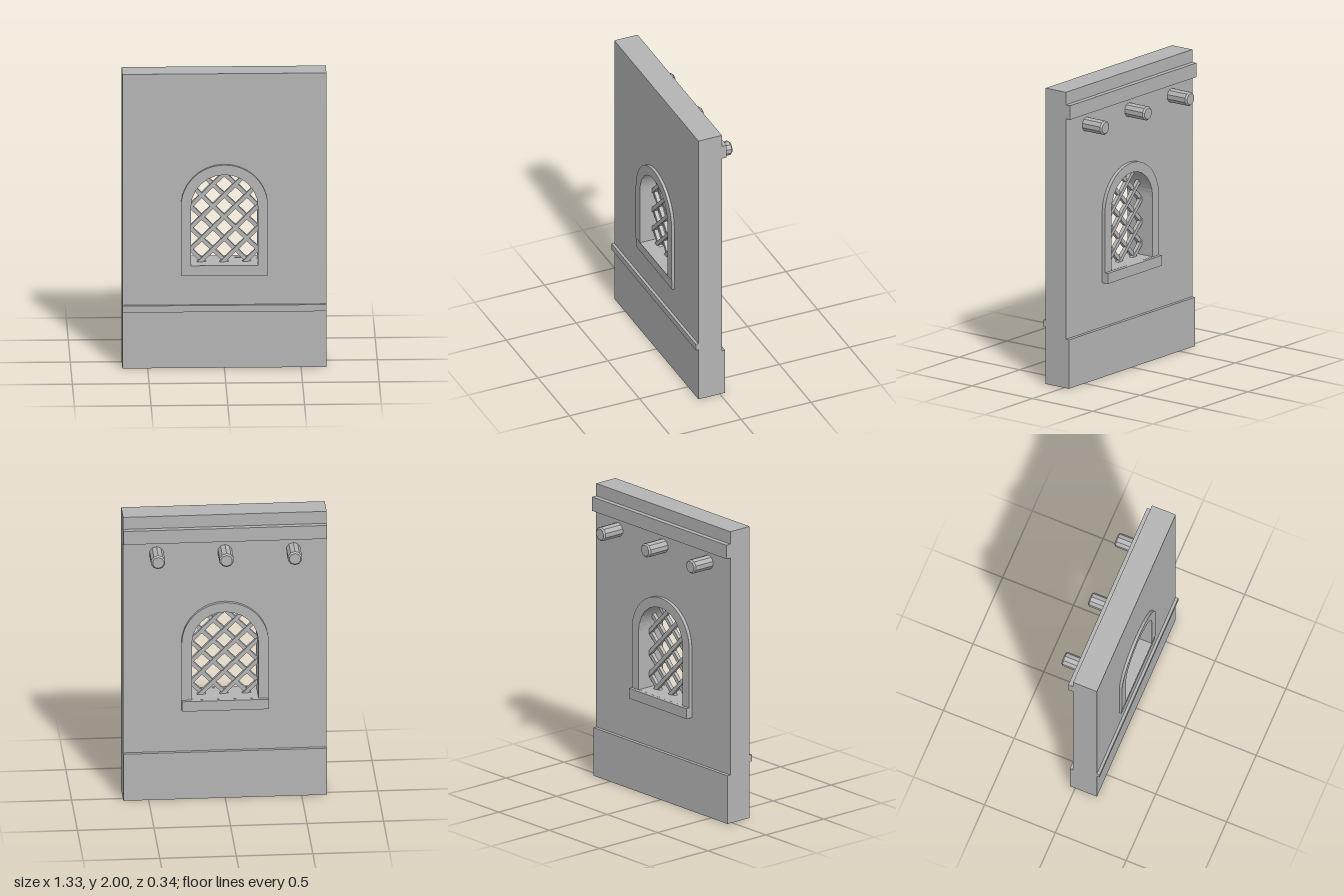
import * as THREE from 'three';

const FRONT = 0.153, BACK = -0.014, HALF_W = 0.665;
const SILL_TOP = 0.70, SPRING = 1.10, HOLE_R = 0.218, FRAME_R = 0.284;

// Round-headed outline standing on the sill
function arch(Kind, r) {
  const p = new Kind();
  p.moveTo(-r, SILL_TOP);
  p.lineTo(r, SILL_TOP);
  p.lineTo(r, SPRING);
  p.absarc(0, SPRING, r, 0, Math.PI, false);
  p.lineTo(-r, SILL_TOP);
  return p;
}

export function createModel() {
  const group = new THREE.Group();
  const stone = new THREE.MeshStandardMaterial({ color: 0xb4b4b4 });
  stone.name = 'grey stone';

  const add = (name, geometry, parent = group) => {
    const mesh = new THREE.Mesh(geometry, stone);
    mesh.name = name;
    parent.add(mesh);
    return mesh;
  };
  const box = (name, halfW, y0, y1, z0, z1) =>
    add(name, new THREE.BoxGeometry(halfW * 2, y1 - y0, z1 - z0))
      .position.set(0, (y0 + y1) / 2, (z0 + z1) / 2);
  const slab = (name, shape, z0, z1) =>
    add(name, new THREE.ExtrudeGeometry(shape, { depth: z1 - z0, bevelEnabled: false, curveSegments: 12 }))
      .position.z = z0;

  // Wall with arched opening
  const wallShape = new THREE.Shape([
    new THREE.Vector2(-HALF_W, 0), new THREE.Vector2(HALF_W, 0),
    new THREE.Vector2(HALF_W, 2), new THREE.Vector2(-HALF_W, 2),
  ]);
  wallShape.holes.push(arch(THREE.Path, HOLE_R));
  slab('wall', wallShape, BACK, FRONT);

  // Horizontal mouldings
  box('plinth', HALF_W, 0, 0.33, -0.038, BACK);
  box('cornice', HALF_W, 1.82, 1.915, -0.049, BACK);
  box('frontStringCourse', HALF_W, 0.385, 0.43, FRONT, 0.172);

  // Window surrounds on both faces, with sills
  for (const [side, z0, z1] of [['front', FRONT, 0.172], ['back', -0.038, BACK]]) {
    const ring = arch(THREE.Shape, FRAME_R);
    ring.holes.push(new THREE.Path([
      new THREE.Vector2(-HOLE_R, SILL_TOP + 0.0005), new THREE.Vector2(HOLE_R, SILL_TOP + 0.0005),
      ...Array.from({ length: 13 }, (_, i) => {
        const a = i * Math.PI / 12;
        return new THREE.Vector2(HOLE_R * Math.cos(a), SPRING + HOLE_R * Math.sin(a));
      }),
    ]));
    slab(side + 'WindowSurround', ring, z0, z1);
  }
  box('frontSill', FRAME_R, 0.63, SILL_TOP, FRONT, 0.168);
  box('backSill', FRAME_R, 0.63, SILL_TOP, -0.062, BACK);

  // Diagonal lattice, each bar trimmed to the opening
  const lattice = new THREE.Group();
  lattice.name = 'windowLattice';
  group.add(lattice);
  const inside = (x, y) => Math.abs(x) < HOLE_R && y > SILL_TOP &&
    (y < SPRING || Math.hypot(x, y - SPRING) < HOLE_R);
  const pitch = 0.147, k = Math.SQRT1_2;
  for (const dir of [1, -1]) {
    for (let i = -5; i <= 5; i++) {
      const x0 = i * pitch;
      let start = null, end = 0;
      for (let t = -0.5; t < 1.4; t += 0.005) {
        if (!inside(x0 + dir * t * k, 0.71 + t * k)) continue;
        if (start === null) start = t;
        end = t;
      }
      if (start === null || end - start < 0.04) continue;
      const mid = (start + end) / 2;
      const bar = add('latticeBar', new THREE.BoxGeometry(0.026, end - start + 0.04, 0.026), lattice);
      bar.position.set(x0 + dir * mid * k, 0.71 + mid * k, 0.068 + dir * 0.004);
      bar.rotation.z = -dir * Math.PI / 4;
    }
  }

  // Beam ends projecting from the back, with chamfered tips
  for (const x of [-0.447, 0, 0.447]) {
    const profile = [[0, 0], [0.048, 0], [0.048, 0.158], [0.038, 0.168], [0, 0.168]]
      .map(([r, y]) => new THREE.Vector2(r, y));
    const geometry = new THREE.LatheGeometry(profile, 10).toNonIndexed();
    geometry.computeVertexNormals();
    const beam = add('beamEnd', geometry);
    beam.rotation.x = -Math.PI / 2;
    beam.position.set(x, 1.738, -0.004);
  }
  return group;
}
